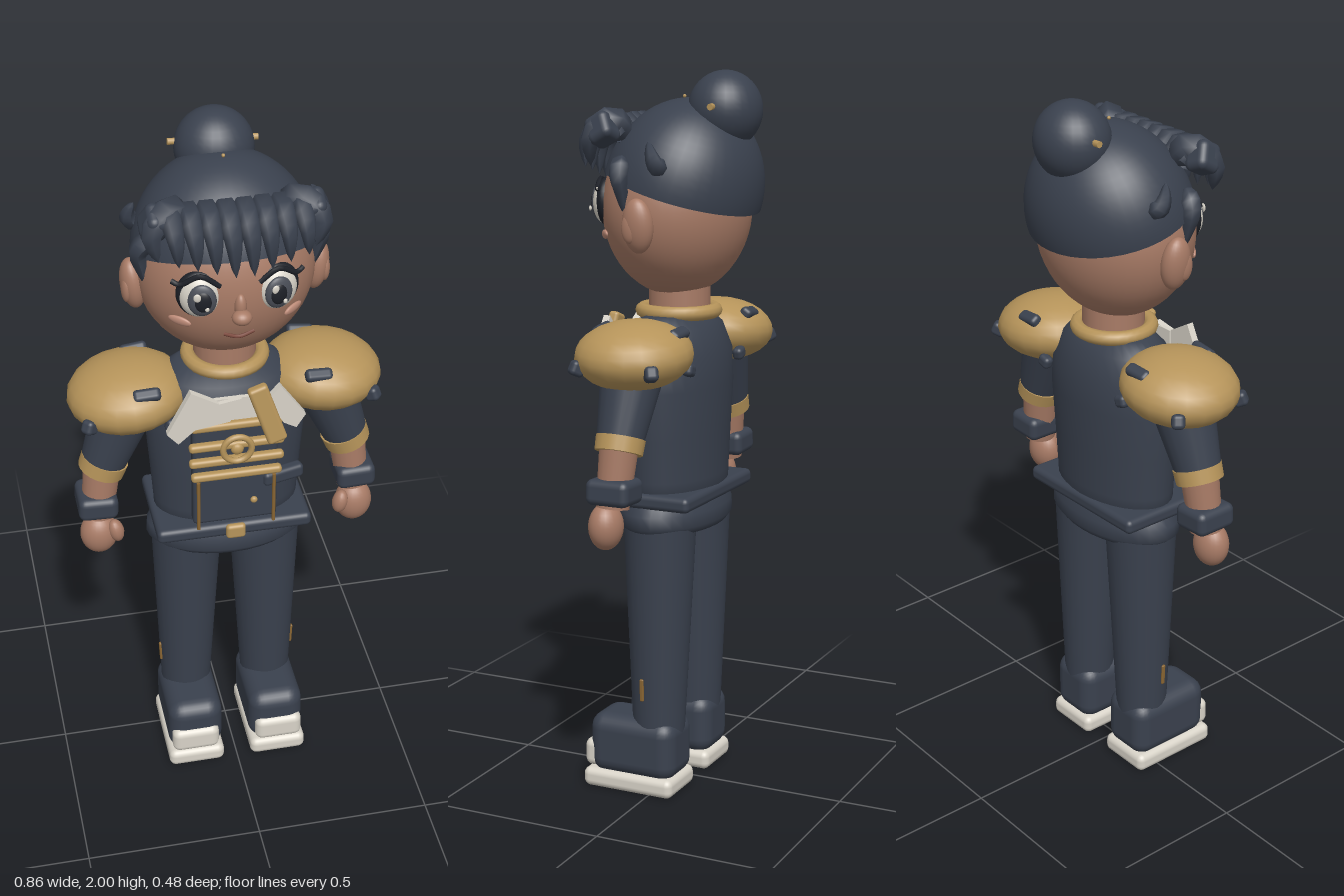
import * as THREE from 'three';
import { RoundedBoxGeometry } from 'three/addons/geometries/RoundedBoxGeometry.js';

const mat = (name, color, side = THREE.FrontSide) => {
  const m = new THREE.MeshStandardMaterial({ color, side });
  m.name = name;
  return m;
};

export function createModel() {
  const root = new THREE.Group();
  root.name = 'figure';
  const navy = mat('navy', 0x3a414e, THREE.DoubleSide);
  const gold = mat('gold', 0xb6945a, THREE.DoubleSide);
  const skin = mat('skin', 0xa87b66);
  const white = mat('offWhite', 0xd8d3c8, THREE.DoubleSide);
  const black = mat('black', 0x1d2027);
  const iris = mat('irisGrey', 0x4a4e57);
  const bronze = mat('bronze', 0x8a6633);
  const lip = mat('lip', 0x7d4a3e);
  const blush = mat('blush', 0xbd8b78);

  const add = (name, geo, m, p = [0, 0, 0], r = [0, 0, 0], s = [1, 1, 1]) => {
    const mesh = new THREE.Mesh(geo, m);
    mesh.name = name;
    mesh.position.set(...p);
    mesh.rotation.set(...r);
    mesh.scale.set(...s);
    root.add(mesh);
    return mesh;
  };
  const V = (a) => new THREE.Vector3(...a);
  const ball = (name, m, p, radii, r, seg = 24) =>
    add(name, new THREE.SphereGeometry(1, seg, Math.ceil(seg * 0.7)), m, p, r, radii);
  const block = (name, m, p, size, r, round = 0.012) =>
    add(name, new RoundedBoxGeometry(...size, 3, Math.min(round, Math.min(...size) * 0.48)), m, p, r);
  const lathe = (name, m, pts, zScale, p, seg = 32) =>
    add(name, new THREE.LatheGeometry(pts.map((q) => new THREE.Vector2(...q)), seg), m, p, [0, 0, 0], [1, 1, zScale]);
  // Cylinder running between two points
  const limb = (name, m, a, b, ra, rb, seg = 20) => {
    const A = V(a), B = V(b), d = B.clone().sub(A);
    const mesh = add(name, new THREE.CylinderGeometry(rb, ra, d.length(), seg), m);
    mesh.position.copy(A).add(B).multiplyScalar(0.5);
    mesh.quaternion.setFromUnitVectors(new THREE.Vector3(0, 1, 0), d.normalize());
    return mesh;
  };
  // Faceted hair lock: a tube whose radius shrinks to a tip
  const lock = (name, pts, radius) => {
    const curve = new THREE.CatmullRomCurve3(pts.map(V)), n = 9, sides = 6;
    const g = new THREE.TubeGeometry(curve, n, radius, sides);
    const pos = g.attributes.position, v = new THREE.Vector3();
    for (let i = 0; i <= n; i++) {
      const t = i / n, c = curve.getPointAt(t), k = Math.min(1, 0.5 + 3 * t) * Math.pow(1 - t, 0.6);
      for (let j = 0; j <= sides; j++) {
        const id = i * (sides + 1) + j;
        v.fromBufferAttribute(pos, id).sub(c).multiplyScalar(k).add(c);
        pos.setXYZ(id, v.x, v.y, v.z);
      }
    }
    g.computeVertexNormals();
    add(name, g, navy);
  };
  // Thin plate cut from a 2D outline
  const plate = (name, m, outline, p, r, depth = 0.012) => {
    const shape = new THREE.Shape(outline.map((q) => new THREE.Vector2(...q)));
    return add(name, new THREE.ExtrudeGeometry(shape, { depth, bevelEnabled: false }), m, p, r);
  };

  // Head, nose and mouth
  ball('head', skin, [0, 1.635, 0], [0.236, 0.243, 0.197], [0, 0, 0], 40);
  ball('noseBridge', skin, [0, 1.62, 0.195], [0.016, 0.035, 0.018]);
  ball('noseTip', skin, [0, 1.597, 0.213], [0.026, 0.02, 0.024]);
  const smile = new THREE.CatmullRomCurve3([[-0.04, 1.53, 0.176], [0, 1.518, 0.178], [0.04, 1.53, 0.176]].map(V));
  add('mouth', new THREE.TubeGeometry(smile, 10, 0.005, 6), lip);

  // Hair cap and bun
  add('hairCap', new THREE.SphereGeometry(1, 40, 16, 0, Math.PI * 2, 0, Math.PI / 2), navy,
    [0, 1.68, -0.017], [-0.3, 0, 0], [0.242, 0.25, 0.213]);
  ball('hairBun', navy, [0, 1.895, -0.14], [0.105, 0.105, 0.1], [0, 0, 0], 28);
  limb('bunPin', gold, [-0.12, 1.915, -0.148], [0.117, 1.905, -0.148], 0.009, 0.009, 8);
  ball('crownBead', gold, [0, 1.93, -0.02], [0.005, 0.005, 0.005], [0, 0, 0], 8);

  // Fringe
  for (let i = 0; i < 8; i++) {
    const x = -0.165 + i * 0.047, edge = Math.abs(x) / 0.165;
    lock('fringeLock', [[x, 1.825, 0.085], [x, 1.86, 0.13], [x + 0.006, 1.82, 0.186],
      [x + 0.012, 1.7 + 0.045 * edge, 0.204 - 0.015 * edge]], 0.04);
  }

  for (const s of [-1, 1]) {
    // Curls and side locks
    lock('templeCurl', [[s * 0.13, 1.83, 0.09], [s * 0.17, 1.865, 0.12], [s * 0.215, 1.83, 0.15], [s * 0.2, 1.75, 0.16]], 0.052);
    block('curlEnd', navy, [s * 0.2, 1.845, 0.125], [0.07, 0.08, 0.075], [0.5, 0, s * 0.4], 0.02);
    lock('sideLock', [[s * 0.2, 1.77, 0.07], [s * 0.235, 1.73, 0.06], [s * 0.228, 1.68, 0.055], [s * 0.215, 1.62, 0.05]], 0.033);
    lock('sideTuft', [[s * 0.215, 1.745, -0.06], [s * 0.24, 1.76, -0.05], [s * 0.243, 1.785, -0.04], [s * 0.23, 1.82, -0.025]], 0.03);

    // Ears
    ball('ear', skin, [s * 0.243, 1.6, 0], [0.033, 0.073, 0.043], [0, 0, s * -0.12]);
    ball('earLobe', skin, [s * 0.262, 1.595, 0.015], [0.014, 0.04, 0.023]);

    // Eyes, lids and cheeks
    const e = s * 0.1;
    const tilt = [0, s * 0.2, 0];
    ball('eyeRim', black, [e, 1.65, 0.163], [0.059, 0.066, 0.03], tilt);
    ball('eyeWhite', white, [e, 1.648, 0.168], [0.053, 0.06, 0.034], tilt);
    ball('iris', iris, [e * 0.98, 1.648, 0.194], [0.037, 0.045, 0.014], tilt);
    ball('pupil', black, [e * 0.97, 1.648, 0.202], [0.023, 0.03, 0.01], tilt);
    ball('eyeGlint', white, [e - 0.013, 1.666, 0.21], [0.01, 0.012, 0.004], tilt, 12);
    ball('eyeGlintSmall', white, [e + 0.012, 1.63, 0.21], [0.006, 0.007, 0.004], tilt, 10);
    const lid = new THREE.CatmullRomCurve3([[e - s * 0.05, 1.68, 0.188], [e, 1.711, 0.183],
      [e + s * 0.05, 1.685, 0.168], [e + s * 0.068, 1.69, 0.155]].map(V));
    add('upperLid', new THREE.TubeGeometry(lid, 12, 0.007, 6), black);
    ball('cheek', blush, [s * 0.147, 1.565, 0.147], [0.033, 0.013, 0.007], [0.15, s * 0.65, 0], 16);

    // Shoulder armour with studs
    ball('pauldron', gold, [s * 0.267, 1.264, 0], [0.165, 0.092, 0.158], [0, 0, s * -0.08], 20);
    for (const f of [-1, 1]) {
      block('topStud', navy, [s * 0.232, 1.32, f * 0.113], [0.075, 0.03, 0.035], [f * 0.6, 0, s * -0.1]);
      block('outerStud', navy, [s * 0.385, 1.237, f * 0.108], [0.04, 0.04, 0.036], [0, s * f * -0.7, s * 0.4]);
      block('innerStud', navy, [s * 0.165, 1.215, f * 0.112], [0.04, 0.035, 0.03], [0, 0, s * 0.3]);
    }

    // Arms
    limb('sleeve', navy, [s * 0.345, 1.035, 0.005], [s * 0.265, 1.25, 0], 0.062, 0.09);
    limb('sleeveCuff', gold, [s * 0.35, 1.015, 0.005], [s * 0.336, 1.053, 0.005], 0.065, 0.067);
    limb('forearm', skin, [s * 0.367, 0.87, 0.015], [s * 0.345, 1.04, 0.005], 0.045, 0.053);
    block('wristband', navy, [s * 0.367, 0.915, 0.01], [0.11, 0.07, 0.125], [0, 0, s * 0.04], 0.02);
    ball('hand', skin, [s * 0.367, 0.817, 0.035], [0.053, 0.064, 0.046]);
    ball('thumb', skin, [s * 0.322, 0.835, 0.06], [0.022, 0.036, 0.024], [0, 0, s * -0.2], 16);

    // Legs
    limb('leg', navy, [s * 0.122, 0.16, 0], [s * 0.113, 0.8, 0], 0.072, 0.102, 24);
    block('legStripe', bronze, [s * 0.199, 0.31, 0.016], [0.008, 0.065, 0.012], [0, 0, s * -0.04]);

    // Shoes
    block('shoeUpper', navy, [s * 0.122, 0.13, 0.058], [0.162, 0.175, 0.262], [0, 0, 0], 0.045);
    block('toeCap', white, [s * 0.126, 0.098, 0.178], [0.14, 0.08, 0.05], [0, 0, 0], 0.022);
    block('sole', white, [s * 0.124, 0.028, 0.064], [0.167, 0.055, 0.276], [0, 0, 0], 0.02);
  }

  // Neck, collar and torso
  limb('neck', skin, [0, 1.33, -0.005], [0, 1.43, -0.005], 0.085, 0.085);
  lathe('torso', navy, [[0, 0.8], [0.2, 0.8], [0.205, 0.9], [0.213, 1.02], [0.223, 1.15], [0.218, 1.24],
    [0.18, 1.31], [0.13, 1.345], [0, 1.355]], 0.61, [0, 0, 0]);
  add('collar', new THREE.TorusGeometry(0.1, 0.02, 10, 32), gold, [0, 1.352, -0.003], [Math.PI / 2, 0, 0]);

  // Coat hem, belt and buckle
  lathe('coatHem', navy, [[0, 0.76], [0.205, 0.755], [0.228, 0.775], [0.225, 0.81], [0.205, 0.84]], 0.6, [0, 0, 0.003]);
  block('belt', navy, [0, 0.852, 0.008], [0.436, 0.042, 0.28], [0, 0, 0], 0.015);
  block('buckle', gold, [0, 0.855, 0.152], [0.055, 0.045, 0.022]);

  // Chest panel with braided bars
  block('chestPanel', navy, [0, 1.065, 0.125], [0.235, 0.36, 0.04]);
  for (const [y, w] of [[1.225, 0.25], [1.16, 0.26], [1.108, 0.26], [1.06, 0.25]])
    block('chestBar', gold, [0, y, 0.156], [w, 0.024, 0.026], [0, 0, 0], 0.01);
  add('chestRing', new THREE.TorusGeometry(0.039, 0.009, 8, 28), gold, [0, 1.15, 0.168]);
  ball('chestBoss', gold, [0, 1.15, 0.166], [0.018, 0.018, 0.012], [0, 0, 0], 12);
  for (const s of [-1, 1])
    limb('frontCord', bronze, [s * 0.105, 0.88, 0.156], [s * 0.105, 1.04, 0.156], 0.005, 0.005, 8);
  ball('button', gold, [0.048, 0.965, 0.162], [0.01, 0.01, 0.008], [0, 0, 0], 12);
  block('pocketFlap', navy, [0.135, 1.015, 0.125], [0.12, 0.042, 0.035], [0, 0.25, 0]);

  // Neckcloth and gold lapel
  plate('neckclothRight', white, [[-0.125, 1.35], [-0.19, 1.225], [-0.16, 1.19], [-0.115, 1.23],
    [-0.02, 1.245], [0.01, 1.315], [-0.05, 1.305]], [0, 0, 0.15], [0, 0, 0], 0.02);
  plate('neckclothCentre', white, [[-0.06, 1.31], [0.06, 1.31], [0.055, 1.24], [-0.06, 1.24]], [0, 0, 0.145]);
  plate('neckclothLeft', white, [[0.115, 1.34], [0.185, 1.24], [0.16, 1.2], [0.125, 1.22], [0.08, 1.3]],
    [0, 0, 0.15], [0, 0, 0], 0.02);
  block('lapel', gold, [0.08, 1.255, 0.168], [0.055, 0.18, 0.03], [-0.1, 0, 0.32], 0.01);

  return root;
}
